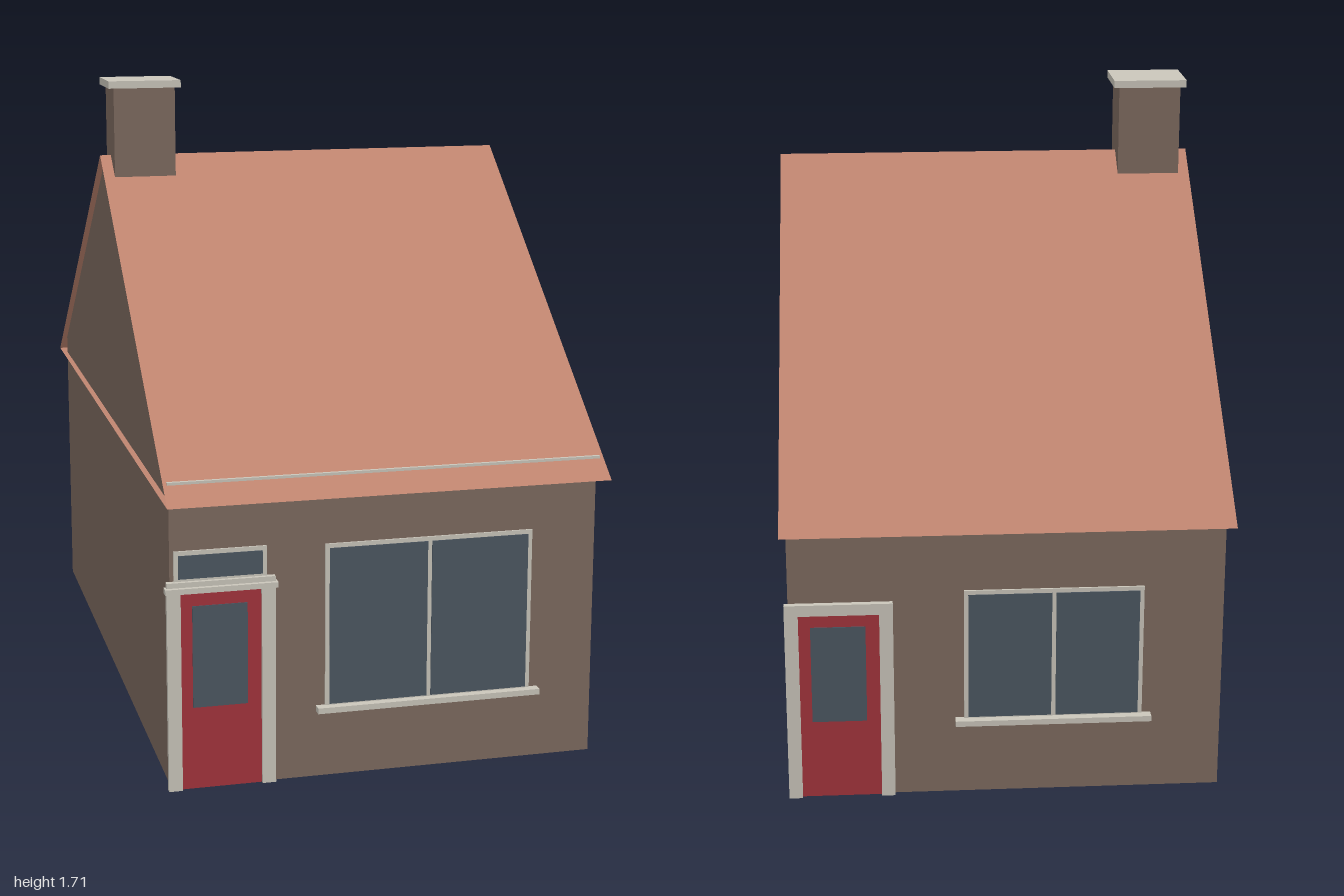
import * as THREE from 'three';

const mat = (color, side = THREE.FrontSide) => new THREE.MeshStandardMaterial({ color, side });
const brick = mat(0x7d6a5f), brickShell = mat(0x7d6a5f, THREE.DoubleSide);
const tile = mat(0xc08570, THREE.DoubleSide);
const trim = mat(0xcac6bb), red = mat(0xa3343c), glass = mat(0x4c5762);

// Box given by its extents on each axis
function box(parent, name, material, [x0, x1], [y0, y1], [z0, z1]) {
  const mesh = new THREE.Mesh(new THREE.BoxGeometry(x1 - x0, y1 - y0, z1 - z0), material);
  mesh.position.set((x0 + x1) / 2, (y0 + y1) / 2, (z0 + z1) / 2);
  mesh.name = name;
  parent.add(mesh);
}

// Open tube of flat faces: sweeps a closed loop of 3D points along an offset
function sweep(parent, name, material, loop, offset) {
  const pos = [];
  loop.forEach((a, i) => {
    const b = loop[(i + 1) % loop.length];
    const a2 = a.clone().add(offset), b2 = b.clone().add(offset);
    for (const p of [a, b, b2, a, b2, a2]) pos.push(p.x, p.y, p.z);
  });
  const geo = new THREE.BufferGeometry();
  geo.setAttribute('position', new THREE.Float32BufferAttribute(pos, 3));
  geo.computeVertexNormals();
  const mesh = new THREE.Mesh(geo, material);
  mesh.name = name;
  parent.add(mesh);
}

const W = 0.555, D = 0.93, EAVE = 0.8, RIDGE = 1.495;

// Door with surround; local z = 0 is the wall face
function door(name) {
  const g = new THREE.Group();
  g.name = name;
  box(g, 'leftJamb', trim, [-0.565, -0.53], [0, 0.515], [0, 0.015]);
  box(g, 'rightJamb', trim, [-0.325, -0.29], [0, 0.515], [0, 0.015]);
  box(g, 'lintel', trim, [-0.565, -0.29], [0.515, 0.545], [0, 0.015]);
  box(g, 'doorLeaf', red, [-0.53, -0.325], [0, 0.515], [0, 0.006]);
  box(g, 'doorGlass', glass, [-0.5, -0.36], [0.215, 0.48], [0, 0.008]);
  return g;
}

// Framed window with equal panes and an optional projecting sill
function windowUnit(name, x0, x1, y0, y1, panes, sill) {
  const g = new THREE.Group(), bar = 0.011;
  g.name = name;
  box(g, 'windowFrame', trim, [x0, x1], [y0, y1], [0, 0.005]);
  const w = (x1 - x0 - bar * (panes + 1)) / panes;
  for (let i = 0; i < panes; i++) {
    const x = x0 + bar + i * (w + bar);
    box(g, 'pane', glass, [x, x + w], [y0 + bar, y1 - bar], [0, 0.007]);
  }
  if (sill) box(g, 'sill', trim, [x0 - 0.023, x1 + 0.023], [y0 - 0.007, y0 + 0.008], [0, 0.025]);
  return g;
}

export function createModel() {
  const house = new THREE.Group();
  house.name = 'house';
  const v = (x, y, z) => new THREE.Vector3(x, y, z);

  // Hollow walls, open underneath
  sweep(house, 'walls', brickShell,
    [v(-W, 0, D), v(W, 0, D), v(W, 0, -D), v(-W, 0, -D)], v(0, EAVE, 0));

  // Gable triangles
  const gable = new THREE.Shape([[-D, EAVE], [D, EAVE], [0, RIDGE - 0.004]].map(p => new THREE.Vector2(...p)));
  for (const s of [-1, 1]) {
    const mesh = new THREE.Mesh(new THREE.ShapeGeometry(gable), brickShell);
    mesh.rotation.y = s * Math.PI / 2;
    mesh.position.x = s * W;
    mesh.name = s > 0 ? 'leftGable' : 'rightGable';
    house.add(mesh);
  }

  // Thin roof slopes and flat ceiling, overhanging the walls
  sweep(house, 'roof', tile, [v(-0.57, 0.75, -1), v(-0.57, RIDGE, 0), v(-0.57, 0.75, 1)], v(1.14, 0, 0));
  box(house, 'gutter', trim, [-0.56, 0.56], [0.752, 0.8], [D, 0.942]);

  // Chimney
  box(house, 'chimney', brick, [-0.54, -0.37], [1.3, 1.69], [-0.072, 0.072]);
  box(house, 'chimneyCap', trim, [-0.555, -0.355], [1.685, 1.705], [-0.083, 0.083]);

  // Front: door with hood and transom light, wide window
  const front = new THREE.Group();
  front.name = 'frontFacade';
  front.position.z = D;
  front.add(door('frontDoor'));
  box(front, 'doorHood', trim, [-0.57, -0.285], [0.518, 0.532], [0, 0.026]);
  front.add(windowUnit('transomWindow', -0.545, -0.31, 0.54, 0.622, 1, false));
  front.add(windowUnit('frontWindow', -0.16, 0.385, 0.182, 0.615, 2, true));
  house.add(front);

  // Back: door and smaller window
  const back = new THREE.Group();
  back.name = 'backFacade';
  back.position.z = -D;
  back.rotation.y = Math.PI;
  back.add(door('backDoor'));
  back.add(windowUnit('backWindow', -0.11, 0.35, 0.205, 0.57, 2, true));
  house.add(back);

  return house;
}
